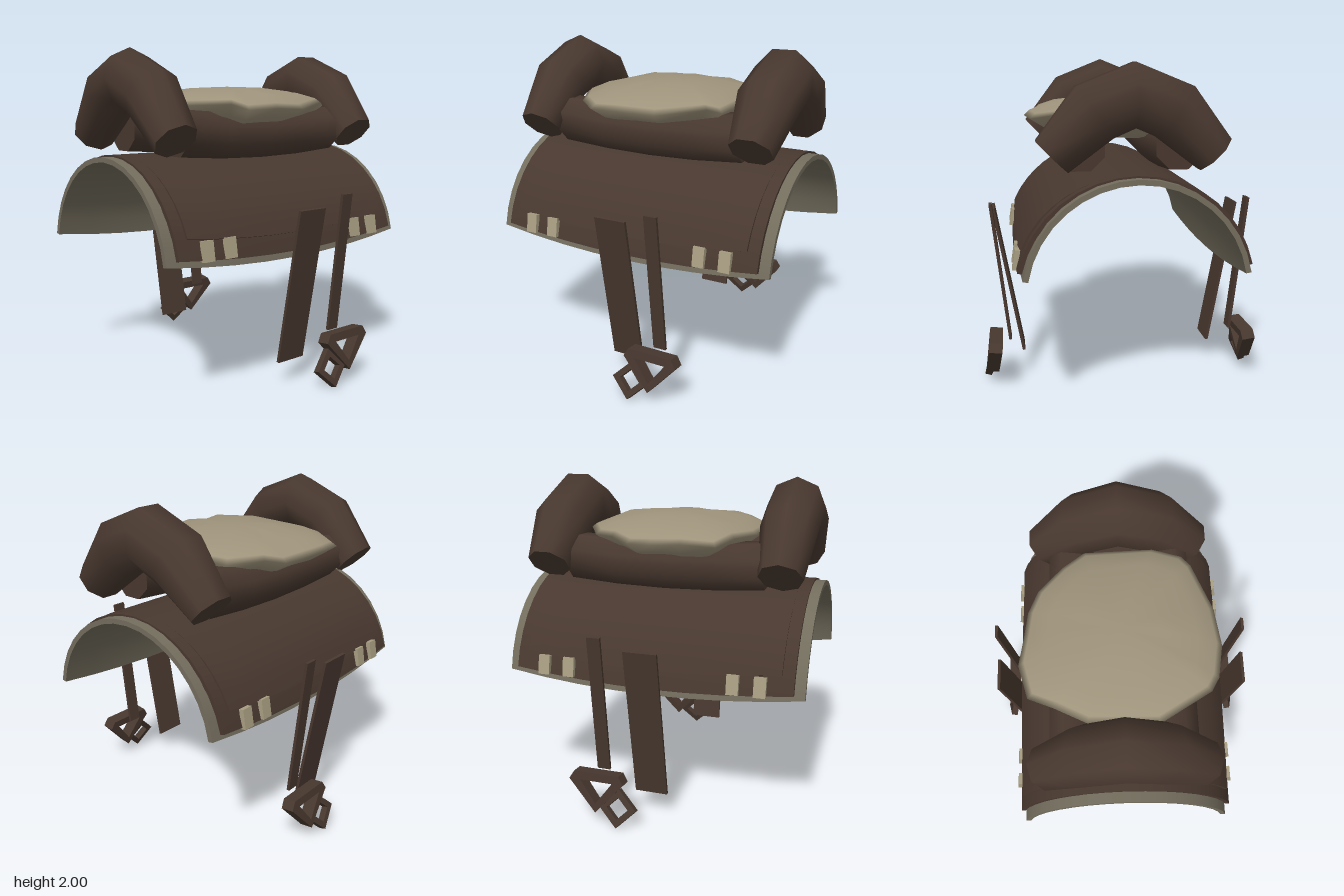
import * as THREE from 'three';
import { mergeGeometries, mergeVertices } from 'three/addons/utils/BufferGeometryUtils.js';

const mat = (name, color) => Object.assign(new THREE.MeshStandardMaterial({ color }), { name });

// Smooth patch of nu by nv cells; fn(u, v) with u, v in 0..1 returns [x, y, z].
function patch(nu, nv, fn) {
  const pos = [], idx = [];
  for (let j = 0; j <= nv; j++)
    for (let i = 0; i <= nu; i++) pos.push(...fn(i / nu, j / nv));
  for (let j = 0; j < nv; j++)
    for (let i = 0; i < nu; i++) {
      const a = j * (nu + 1) + i, d = a + nu + 1;
      idx.push(a, a + 1, d + 1, a, d + 1, d);
    }
  let g = new THREE.BufferGeometry();
  g.setAttribute('position', new THREE.Float32BufferAttribute(pos, 3));
  g.setIndex(idx);
  g = mergeVertices(g, 1e-4);
  g.computeVertexNormals();
  return g;
}

// Thick arch over the back: side edges end at yMid in the middle and yEnd at both ends.
function archShell({ rx, ry, thick, halfZ, yMid, yEnd }) {
  const cy = 0.74, nA = 16, nZ = 8;
  const S = (u, v, w) => {
    const z = (v * 2 - 1) * halfZ;
    const yEdge = yMid + (yEnd - yMid) * (z / halfZ) ** 2;
    const a = (u * 2 - 1) * Math.acos((yEdge - cy) / ry), t = thick * (1 - w);
    return [(rx - t) * Math.sin(a), cy + (ry - t) * Math.cos(a), z];
  };
  return mergeGeometries([
    patch(nA, nZ, (u, v) => S(u, 1 - v, 1)),
    patch(nA, nZ, (u, v) => S(u, v, 0)),
    patch(nA, 1, (u, v) => S(u, 1, v)),
    patch(nA, 1, (u, v) => S(u, 0, 1 - v)),
    patch(nZ, 1, (u, v) => S(1, u, 1 - v)),
    patch(nZ, 1, (u, v) => S(0, u, v)),
  ]);
}

// Capped eight-sided roll through rings { c: centre, n: outward, r: radius }; b is the sideways axis.
function roll(rings, b, turn = 0) {
  const P = (ring, u, k) => {
    const a = u * Math.PI * 2 + turn;
    return [0, 1, 2].map(i =>
      ring.c[i] + k * ring.r * (Math.cos(a) * ring.n[i] + Math.sin(a) * b[i]));
  };
  const last = rings.length - 1;
  return mergeGeometries([
    patch(8, last, (u, v) => P(rings[Math.round(v * last)], u, 1)),
    patch(8, 1, (u, v) => P(rings[0], u, v)),
    patch(8, 1, (u, v) => P(rings[last], u, 1 - v)),
  ]);
}

// Bent roll across the saddle.
function archRoll(z, top, rTop, turn) {
  const half = [
    [0, top, 0, 1, rTop],
    [0.22, top - 0.09, 0.58, 0.81, rTop * 0.97],
    [0.45, 1.485, 0.707, 0.707, 0.13],
  ];
  const ring = s => ([x, y, nx, ny, r]) => ({ c: [s * x, y, z], n: [s * nx, ny, 0], r });
  return roll([...half.slice(1).reverse().map(ring(-1)), ...half.map(ring(1))], [0, 0, 1], turn);
}

// Rounded irregular fleece seat.
function cushionGeometry() {
  const outline = [
    [0.57, 0.08], [0.54, 0.27], [0.49, 0.36], [0.2, 0.53], [-0.2, 0.52], [-0.38, 0.43],
    [-0.53, 0.36], [-0.58, 0.17], [-0.55, -0.02], [-0.53, -0.16], [-0.47, -0.28],
    [-0.33, -0.44], [-0.2, -0.52], [0.2, -0.53], [0.37, -0.49], [0.42, -0.42], [0.54, -0.15],
  ];
  const profile = [[0, 0.13], [0.4, 0.115], [0.75, 0.075], [0.94, 0.03],
    [1, 0], [0.84, -0.06], [0.5, -0.12], [0, -0.14]];
  const n = outline.length, m = profile.length - 1;
  return patch(n, m, (u, v) => {
    const i = Math.round(u * n) % n, [k, h] = profile[Math.round(v * m)];
    const x = outline[i][0] * k, z = outline[i][1] * k;
    const wave = 0.015 * k * Math.sin(i * 2.4 + k * 3);
    return [x, 1.65 + h + wave + 0.1 * z * z, z];
  });
}

// Flat polygonal ring in the y-z plane, depth along x.
function frameGeometry(outer, inner, depth) {
  const pts = list => list.map(([x, y]) => new THREE.Vector2(x, y));
  const shape = new THREE.Shape(pts(outer));
  shape.holes.push(new THREE.Path(pts(inner)));
  const g = new THREE.ExtrudeGeometry(shape, { depth, bevelEnabled: false });
  return g.translate(0, 0, -depth / 2).rotateY(Math.PI / 2);
}

export function createModel() {
  const model = new THREE.Group();
  model.name = 'saddle';
  const leather = mat('dark brown leather', 0x48382f);
  const felt = mat('grey felt', 0x736d5d);
  const fleece = mat('pale fleece', 0x9e937b);
  const tan = mat('tan binding', 0xaa9f83);
  const add = (name, geometry, material) => {
    const mesh = new THREE.Mesh(geometry, material);
    mesh.name = name;
    model.add(mesh);
    return mesh;
  };

  // Layers draped over the back
  add('blanket', archShell({ rx: 0.635, ry: 0.64, thick: 0.03, halfZ: 0.9, yMid: 0.785, yEnd: 0.85 }), felt);
  add('flap', archShell({ rx: 0.667, ry: 0.65, thick: 0.025, halfZ: 0.84, yMid: 0.83, yEnd: 0.88 }), leather);
  add('upperSkirt', archShell({ rx: 0.685, ry: 0.648, thick: 0.03, halfZ: 0.77, yMid: 0.94, yEnd: 0.99 }), leather);

  // Pommel and cantle rolls, fleece seat
  add('pommelRoll', archRoll(0.71, 1.825, 0.175, 0), leather);
  add('cantleRoll', archRoll(-0.7, 1.81, 0.188, Math.PI / 8), leather);
  add('seatCushion', cushionGeometry(), fleece);

  for (const s of [1, -1]) {
    const side = s > 0 ? 'left' : 'right';

    // Padded side bar under the seat, sagging a little in the middle
    const rings = [-0.6, -0.3, 0, 0.3, 0.6].map(z =>
      ({ c: [s * 0.28, 1.49 + 0.08 * z * z, z], n: [0, 1, 0], r: 0.145 }));
    add(side + 'SideBar', roll(rings, [-1, 0, 0], Math.PI / 8), leather);

    // Binding strips at the lower edge of the flap
    for (const z of [-0.655, -0.497, 0.5, 0.655]) {
      const strip = add(side + 'BindingStrip', new THREE.BoxGeometry(0.03, 0.115, 0.07), tan);
      strip.position.set(s * 0.653, 0.912, z);
      strip.rotation.z = s * 0.16;
    }

    // Hanging straps: from lower point to upper point in the x-y plane
    const strap = (name, x0, y0, x1, y1, z, width) => {
      const m = add(side + name, new THREE.BoxGeometry(0.018, Math.hypot(x1 - x0, y1 - y0), width), leather);
      m.position.set(s * (x0 + x1) / 2, (y0 + y1) / 2, z);
      m.rotation.z = -s * Math.atan2(x1 - x0, y1 - y0);
    };
    strap('GirthStrap', 0.61, 0.15, 0.78, 1.088, 0, 0.2);
    strap('StirrupStrap', 0.695, 0.307, 0.793, 1.155, -0.27, 0.08);

    // Triangular stirrup hanger and square ring below it
    const hanger = add(side + 'StirrupHanger', frameGeometry(
      [[-0.14, 0.11], [-0.17, 0.06], [0, -0.13], [0.17, 0.06], [0.14, 0.11]],
      [[-0.1, 0.06], [0.1, 0.06], [0, -0.075]], 0.08), leather);
    hanger.position.set(s * 0.795, 0.215, -0.27);
    hanger.rotation.z = s * 0.13;
    const r = 0.115, q = 0.066;
    const ring = add(side + 'StirrupRing', frameGeometry(
      [[r, 0], [0, r], [-r, 0], [0, -r]], [[q, 0], [0, q], [-q, 0], [0, -q]], 0.042), leather);
    ring.position.set(s * 0.81, 0.12, -0.138);
    ring.rotation.z = s * 0.3;
  }
  return model;
}
